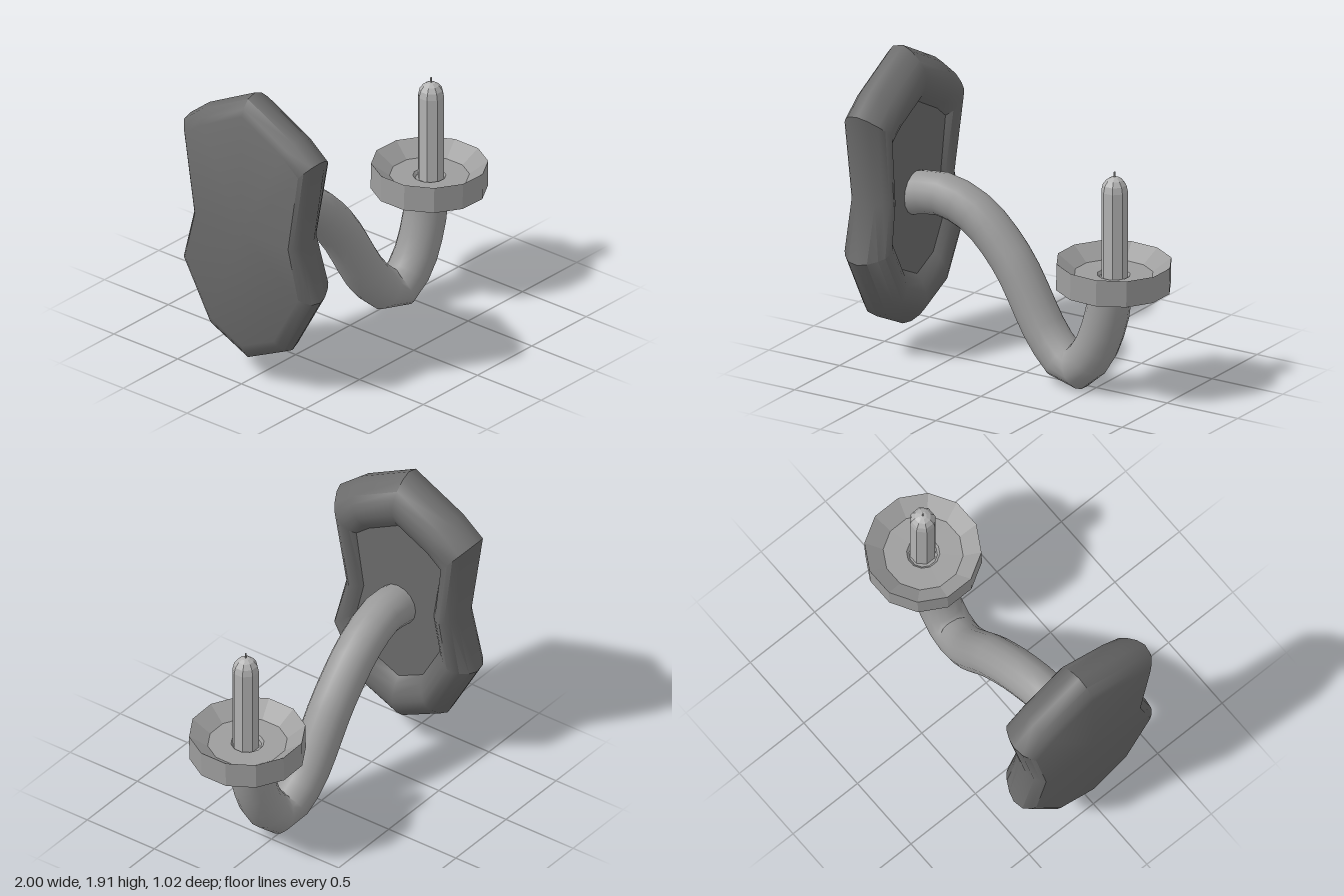
import * as THREE from 'three';
import { toCreasedNormals } from 'three/addons/utils/BufferGeometryUtils.js';

const plateMaterial = new THREE.MeshStandardMaterial({ color: 0x6b6b6b });
const armMaterial = new THREE.MeshStandardMaterial({ color: 0x9b9b9b });
const dishMaterial = new THREE.MeshStandardMaterial({ color: 0x9d9d9d, flatShading: true });
const candleMaterial = new THREE.MeshStandardMaterial({ color: 0xb4b4b4, flatShading: true });

function part(name, geometry, material) {
  const mesh = new THREE.Mesh(geometry, material);
  mesh.name = name;
  return mesh;
}

const lathe = (pts, sides) =>
  new THREE.LatheGeometry(pts.map(([r, y]) => new THREE.Vector2(r, y)), sides);

// Shield-shaped plate: one outline scaled about its waist along a rounded rim profile
function plateGeometry() {
  const midY = 1.03;
  const half = [[0, 1.915], [0.36, 1.73], [0.51, 1.61], [0.42, midY], [0.51, 0.67], [0.29, 0.28], [0, 0.145]];
  const outline = [...half, ...half.slice(1, -1).reverse().map(([z, y]) => [-z, y])];
  // [x, scale] from the back centre, over the rim, into the recessed front
  const profile = [[-1, 0], [-1, 0.87], [-0.98, 0.92], [-0.94, 0.98], [-0.87, 1], [-0.81, 0.97],
    [-0.75, 0.91], [-0.715, 0.86], [-0.7, 0.8], [-0.705, 0.74], [-0.73, 0.67], [-0.77, 0.62], [-0.77, 0]];
  const n = outline.length;
  const corner = (i, j) => {
    const [x, s] = profile[i];
    const [z, y] = outline[j % n];
    // the front lip sits a little lower at the waist
    const dip = y === midY && x > -0.76 ? 0.02 : 0;
    return [x - dip, midY + (y - midY) * s, z * s];
  };
  const pos = [];
  for (let i = 0; i < profile.length - 1; i++) {
    for (let j = 0; j < n; j++) {
      const a = corner(i, j), b = corner(i, j + 1), c = corner(i + 1, j + 1), d = corner(i + 1, j);
      if (profile[i][1] > 0) pos.push(...a, ...b, ...c);
      if (profile[i + 1][1] > 0) pos.push(...a, ...c, ...d);
    }
  }
  const g = new THREE.BufferGeometry();
  g.setAttribute('position', new THREE.Float32BufferAttribute(pos, 3));
  return toCreasedNormals(g, 0.7);
}

export function createModel() {
  const group = new THREE.Group();
  group.add(part('wallPlate', plateGeometry(), plateMaterial));

  // Swan-neck arm from the plate to the underside of the dish
  const path = new THREE.CatmullRomCurve3([
    [-0.82, 0.99, 0.01], [-0.6, 1.025, 0], [-0.36, 0.94, -0.015], [-0.11, 0.7, -0.015],
    [0.19, 0.24, 0.01], [0.37, 0.122, 0.04], [0.51, 0.25, 0.055], [0.61, 0.5, 0.06], [0.645, 0.75, 0.06],
  ].map((p) => new THREE.Vector3(...p)));
  group.add(part('arm', new THREE.TubeGeometry(path, 20, 0.133, 16), armMaterial));

  // Twelve-sided drip dish with a sharp rim, very slightly tilted
  const dish = part('dripDish', lathe([
    [0, -0.083], [0.351, -0.083], [0.351, 0.083], [0.24, 0],
    [0.1, -0.003], [0.085, -0.02], [0, -0.02],
  ], 12), dishMaterial);
  dish.geometry.rotateY(Math.PI / 12);
  dish.position.set(0.66, 0.779, 0.06);
  dish.rotation.z = -0.025;
  group.add(dish);

  // Eight-sided candle with a domed tip and a wick
  const candle = new THREE.Group();
  candle.name = 'candle';
  candle.position.set(0.67, 0, 0.065);
  const wax = part('wax', lathe([
    [0, 0.74], [0.081, 0.74], [0.081, 1.31], [0.072, 1.35], [0.05, 1.38], [0.025, 1.395], [0, 1.4],
  ], 8), candleMaterial);
  wax.geometry.rotateY(Math.PI / 8);
  const wick = part('wick', new THREE.CylinderGeometry(0.006, 0.006, 0.06, 6), candleMaterial);
  wick.position.y = 1.4;
  candle.add(wax, wick);
  group.add(candle);

  return group;
}
